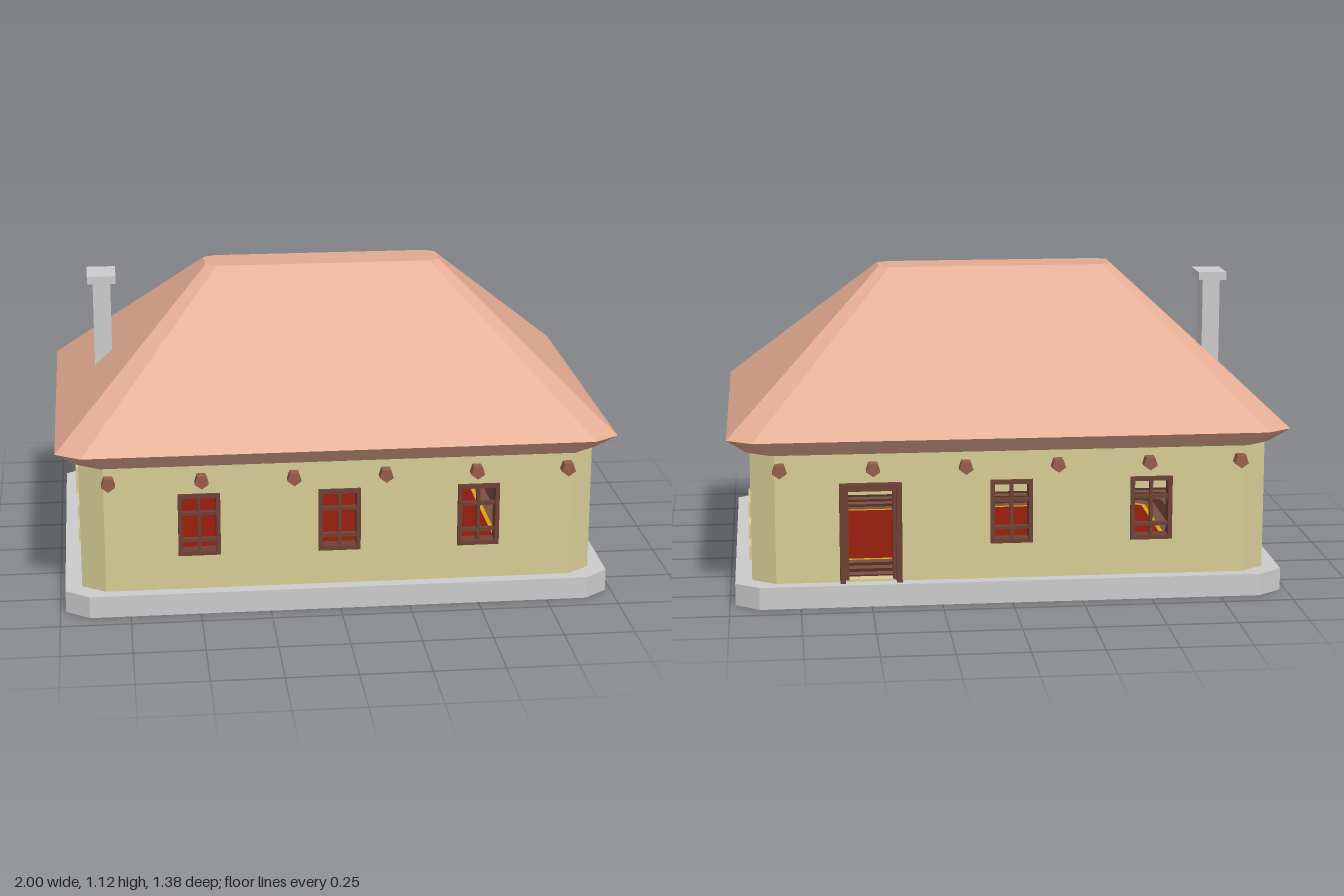
import * as THREE from 'three';

const mat = (color, side = THREE.FrontSide) =>
  new THREE.MeshStandardMaterial({ color, flatShading: true, side });
const concrete = mat(0xcccccc), shell = mat(0xcccccc, THREE.DoubleSide);
const plaster = mat(0xd6cd95), tile = mat(0xe2aa92);
const wood = mat(0x6e4034), beamWood = mat(0x965c4a);
const carpet = [0x4a2c24, 0x7a5040].map(c => mat(c, THREE.DoubleSide));
const gold = mat(0xd9a514, THREE.DoubleSide), red = mat(0x8a1c0c, THREE.DoubleSide);

function add(parent, name, geometry, material, x = 0, y = 0, z = 0) {
  const mesh = new THREE.Mesh(geometry, material);
  mesh.name = name;
  mesh.position.set(x, y, z);
  parent.add(mesh);
  return mesh;
}
const box = (parent, name, material, w, h, d, x, y, z) =>
  add(parent, name, new THREE.BoxGeometry(w, h, d), material, x, y, z);

// Rectangle with cut corners, counter-clockwise from above, as [x, z] pairs
const octagon = (x, z, cx, cz) => [
  [x, z - cz], [x, -z + cz], [x - cx, -z], [-x + cx, -z],
  [-x, -z + cz], [-x, z - cz], [-x + cx, z], [x - cx, z],
];

// Skin over a stack of octagons: [y, halfX, halfZ, cutX, cutZ]
function loft(sections, capped) {
  const rings = sections.map(([y, ...o]) => octagon(...o).map(([x, z]) => [x, y, z]));
  const pos = [];
  const tri = (...pts) => pts.forEach(p => pos.push(...p));
  for (let r = 0; r + 1 < rings.length; r++) {
    const a = rings[r], b = rings[r + 1];
    for (let i = 0; i < 8; i++) {
      const j = (i + 1) % 8;
      tri(a[i], a[j], b[j]);
      tri(a[i], b[j], b[i]);
    }
  }
  if (capped) {
    const low = rings[0], top = rings[rings.length - 1];
    for (let i = 1; i < 7; i++) {
      tri(low[0], low[i + 1], low[i]);
      tri(top[0], top[i], top[i + 1]);
    }
  }
  const g = new THREE.BufferGeometry();
  g.setAttribute('position', new THREE.Float32BufferAttribute(pos, 3));
  g.computeVertexNormals();
  return g;
}

const FLOOR = 0.08, EAVE = 0.55, THICK = 0.04;

// Wooden surround, with glazing bars for windows or an inner step for the door
function opening(parent, name, { x, w, y0, y1, door }) {
  const g = new THREE.Group();
  g.name = name;
  g.position.x = x;
  parent.add(g);
  const t = door ? 0.02 : 0.015, front = door ? 0.025 : 0.012, back = -0.04;
  const d = front - back, zc = (front + back) / 2, h = y1 - y0, yc = (y0 + y1) / 2;
  for (const s of [-1, 1]) box(g, 'jamb', wood, t, h, d, s * (w - t) / 2, yc, zc);
  box(g, 'lintel', wood, w, t, d, 0, y1 - t / 2, zc);
  if (door) {
    for (const s of [-1, 1]) box(g, 'innerJamb', wood, 0.012, h - t, 0.03, s * (w / 2 - t - 0.006), yc - t / 2, -0.015);
    box(g, 'innerLintel', wood, w - 2 * t, 0.012, 0.03, 0, y1 - t - 0.006, -0.015);
    return;
  }
  box(g, 'sill', wood, w, t, d, 0, y0 + t / 2, zc);
  box(g, 'mullion', wood, 0.012, h, 0.02, 0, yc, -0.005);
  for (const y of [0.265, 0.365]) box(g, 'glazingBar', wood, w, 0.012, 0.02, 0, y, -0.005);
}

// Wall panel between two corners; local z points outwards from its outer face
function wall(parent, name, a, b, openings = []) {
  const dx = b[0] - a[0], dz = b[1] - a[1], half = Math.hypot(dx, dz) / 2;
  const g = new THREE.Group();
  g.name = name;
  g.position.set((a[0] + b[0]) / 2, 0, (a[1] + b[1]) / 2);
  g.rotation.y = Math.atan2(-dz, dx);
  parent.add(g);
  const rect = (C, x0, x1, y0, y1) => new C([[x0, y0], [x1, y0], [x1, y1], [x0, y1]]
    .map(p => new THREE.Vector2(...p)));
  const shape = rect(THREE.Shape, -half, half, FLOOR, EAVE);
  for (const { x, w, y0, y1 } of openings)
    shape.holes.push(rect(THREE.Path, x - w / 2 + 0.008, x + w / 2 - 0.008, y0 + 0.008, y1 - 0.008));
  add(g, 'wallPanel', new THREE.ExtrudeGeometry(shape, { depth: THICK, bevelEnabled: false }), plaster, 0, 0, -THICK);
  for (const o of openings) opening(g, o.door ? 'doorFrame' : 'windowFrame', o);
  return g;
}

// Rows of raised bricks: [y, first centre, count] along a wall's local x
function bricks(g, rows) {
  for (const [y, x, n] of rows)
    for (let i = 0; i < n; i++) box(g, 'brick', plaster, 0.095, 0.052, 0.02, x + i * 0.117, y, 0);
}

export function createModel() {
  const house = new THREE.Group();
  house.name = 'house';

  // Hollow plinth with a ledge around the walls
  add(house, 'plinth', loft([
    [0, 0.98, 0.685, 0.085, 0.065], [FLOOR, 0.98, 0.685, 0.085, 0.065], [FLOOR, 0.91, 0.63, 0.085, 0.06],
  ], false), shell);

  // Carpeted floor in concentric bands
  const outline = (C, inset) => new C(octagon(0.885 - inset, 0.605 - inset, 0.08 - inset * 0.15, 0.06 - inset * 0.1)
    .map(([x, z]) => new THREE.Vector2(x, -z)));
  const band = (name, from, to, material) => {
    const s = outline(THREE.Shape, from);
    if (to) s.holes.push(outline(THREE.Path, to));
    add(house, name, new THREE.ShapeGeometry(s).rotateX(-Math.PI / 2), material, 0, FLOOR + 0.003, 0);
  };
  for (let i = 0; i < 6; i++) band('carpetBand', i * 0.04, (i + 1) * 0.04, carpet[i % 2]);
  band('carpetTrim', 0.24, 0.256, gold);
  band('carpetCentre', 0.256, 0, red);

  // Walls, one panel per side of the octagon
  const win = x => ({ x, w: 0.15, y0: 0.21, y1: 0.44 });
  const c = octagon(0.92, 0.64, 0.085, 0.06);
  const names = ['leftWall', 'cornerWall', 'backWall', 'cornerWall', 'rightWall', 'cornerWall', 'frontWall', 'cornerWall'];
  const openings = {
    2: [{ x: -0.5, w: 0.22, y0: FLOOR, y1: 0.44, door: true }, win(0), win(0.5)],
    6: [win(-0.5), win(0), win(0.5)],
  };
  const walls = names.map((n, i) => wall(house, n, c[i], c[(i + 1) % 8], openings[i]));

  // Roof beam ends under the eaves, front and back
  for (const g of [walls[2], walls[6]])
    for (let i = 0; i < 6; i++)
      add(g, 'beamEnd', new THREE.CylinderGeometry(0.026, 0.026, 0.07, 5).rotateX(Math.PI / 2),
        beamWood, (i - 2.5) * 0.327, 0.495, 0.005);

  // Exposed brick patches on the end walls
  bricks(walls[0], [
    [0.49, -0.48, 2], [0.422, -0.422, 1],
    [0.287, 0.218, 2], [0.222, 0.163, 3], [0.157, 0.103, 4],
  ]);
  bricks(walls[4], [
    [0.49, 0.25, 3], [0.422, 0.31, 2],
    [0.222, -0.19, 1], [0.157, -0.25, 2],
    [0.222, 0.16, 1], [0.157, 0.1, 2],
  ]);

  // Hipped roof with sloping soffit and flat top
  add(house, 'roof', loft([
    [0.545, 0.93, 0.645, 0.085, 0.06],
    [0.6, 1, 0.692, 0.09, 0.06],
    [1.12, 0.435, 0.08, 0.04, 0.022],
  ], true), tile);

  // Chimney
  box(house, 'chimneyShaft', concrete, 0.065, 0.38, 0.1, -0.817, 0.88, -0.018);
  box(house, 'chimneyCap', concrete, 0.105, 0.03, 0.147, -0.817, 1.07, -0.018);

  return house;
}
